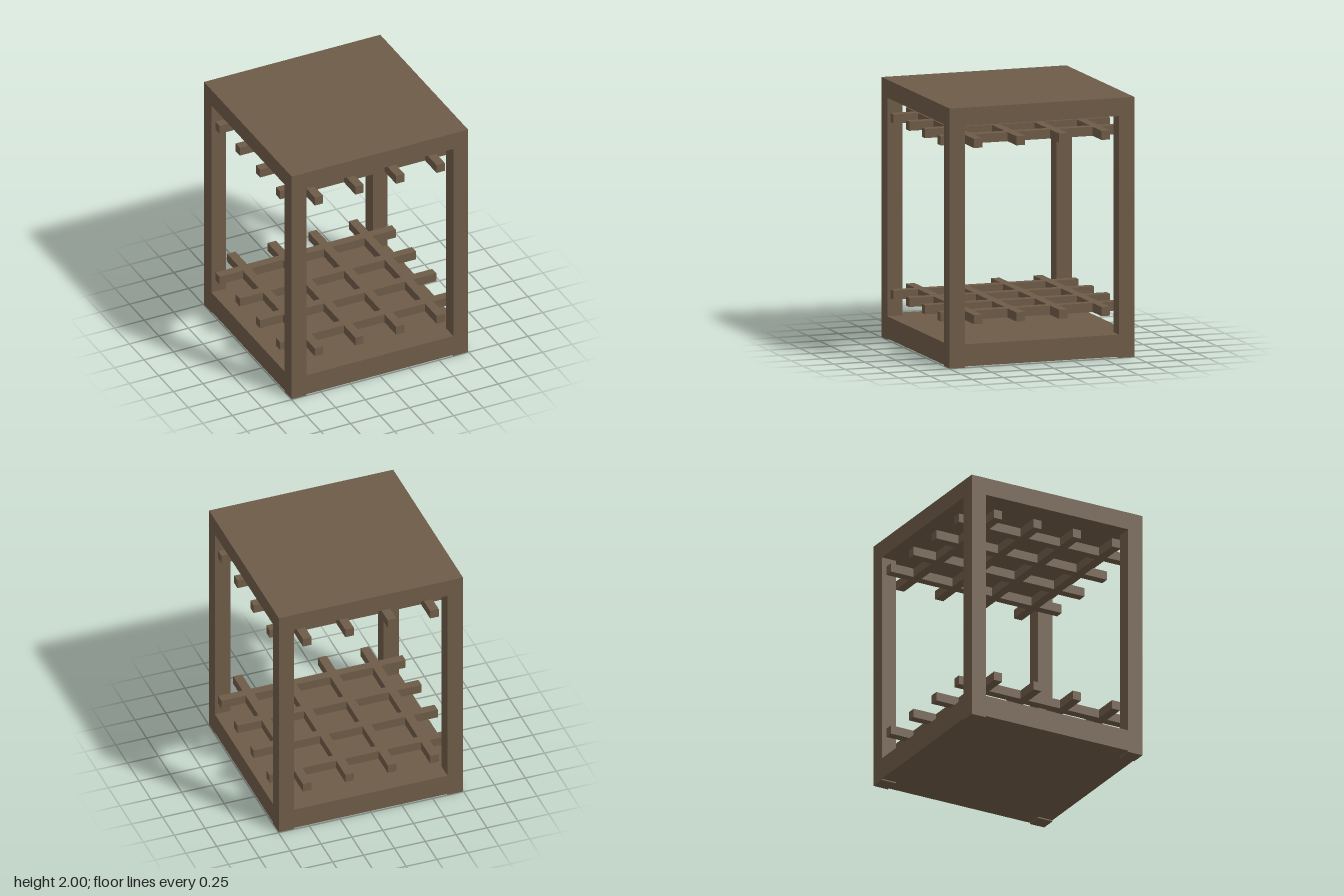
import * as THREE from 'three';

const HALF = 0.746;      // half width of the whole frame
const POST = 0.125;      // post thickness
const BAR = 0.07;        // lattice bar thickness
const BAR_POSITIONS = [-0.515, -0.172, 0.172, 0.515];

export function createModel() {
  const model = new THREE.Group();
  model.name = 'latticeLantern';
  const wood = new THREE.MeshStandardMaterial({ color: 0x6e5b47 });

  // Box given by its centre in x and z and its bottom and top in y
  function addBox(parent, name, width, depth, bottom, top, x = 0, z = 0) {
    const mesh = new THREE.Mesh(new THREE.BoxGeometry(width, top - bottom, depth), wood);
    mesh.name = name;
    mesh.position.set(x, (bottom + top) / 2, z);
    parent.add(mesh);
  }

  // Solid base and roof slabs
  addBox(model, 'baseSlab', HALF * 2, HALF * 2, 0.01, 0.18);
  addBox(model, 'roofSlab', HALF * 2, HALF * 2, 1.86, 2);

  // Corner posts, each with a thin foot below the base
  const corner = HALF - POST / 2;
  for (const sx of [-1, 1]) {
    for (const sz of [-1, 1]) {
      addBox(model, 'cornerPost', POST, POST, 0.18, 1.86, sx * corner, sz * corner);
      addBox(model, 'foot', POST, POST, 0, 0.01, sx * corner, sz * corner);
    }
  }

  // Two lattices of crossing bars, ending flush with the outer faces
  for (const [name, bottom] of [['lowerLattice', 0.33], ['upperLattice', 1.685]]) {
    const lattice = new THREE.Group();
    lattice.name = name;
    for (const p of BAR_POSITIONS) {
      addBox(lattice, 'crossBar', HALF * 2, BAR, bottom, bottom + BAR, 0, p);
      addBox(lattice, 'lengthBar', BAR, HALF * 2, bottom, bottom + BAR, p, 0);
    }
    model.add(lattice);
  }

  return model;
}
